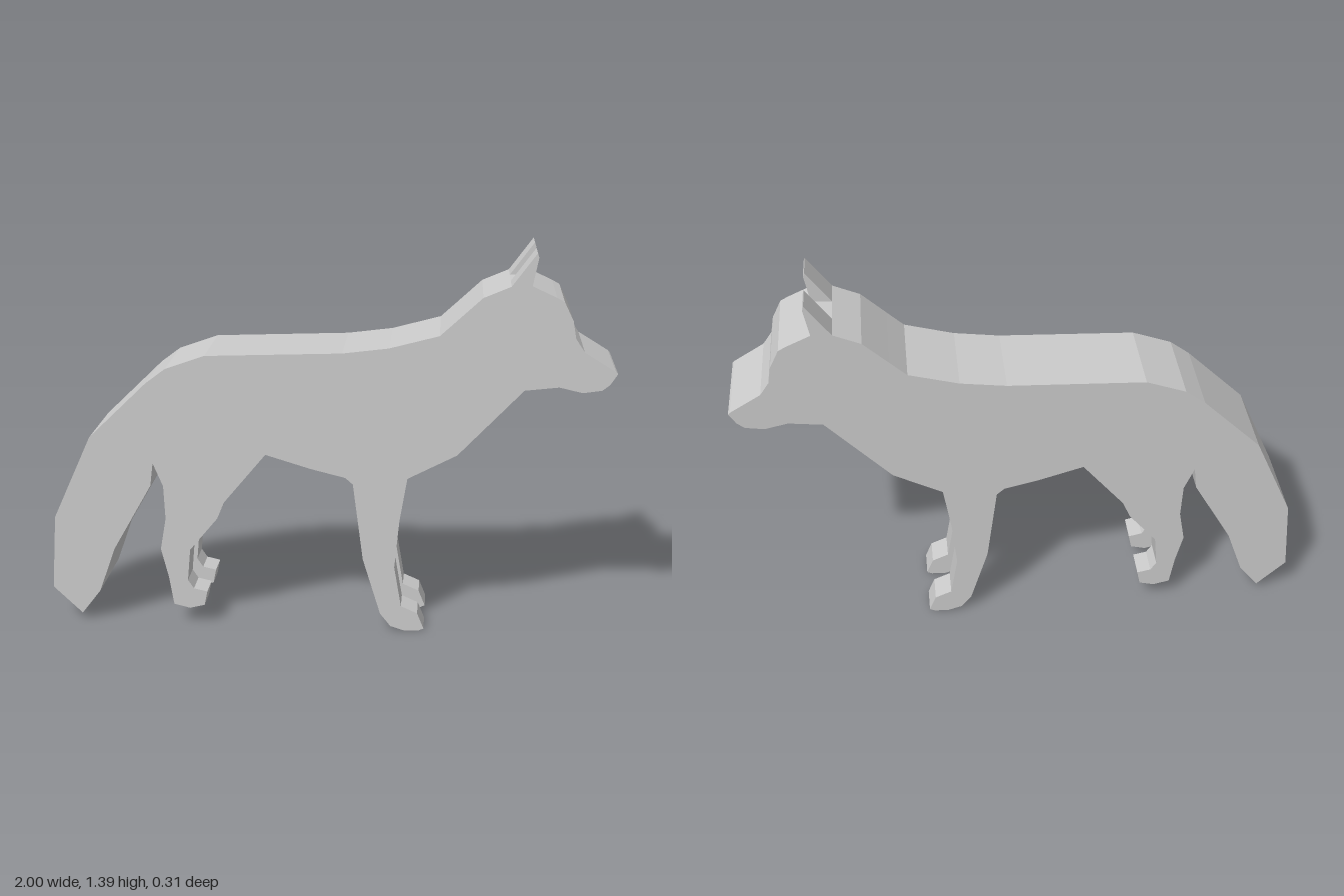
import * as THREE from 'three';

const HALF_WIDTH = 0.153; // overall half thickness
const HALF_GAP = 0.053;   // half the gap between paired legs and ears

const material = new THREE.MeshStandardMaterial({ color: 0xcccccc, flatShading: true });

// Extrude a side profile from z0 to z1
function slab(name, points, z0, z1) {
  const shape = new THREE.Shape(points.map(([x, y]) => new THREE.Vector2(x, y)));
  const geometry = new THREE.ExtrudeGeometry(shape, { depth: z1 - z0, bevelEnabled: false });
  geometry.translate(0, 0, z0);
  const mesh = new THREE.Mesh(geometry, material);
  mesh.name = name;
  return mesh;
}

// Tail, torso, neck and head in one full-width profile
const body = [
  [-0.896, 0.027], [-0.826, 0.118], [-0.767, 0.283], [-0.626, 0.53], [-0.615, 0.615], // tail underside
  [-0.211, 0.658], [-0.051, 0.61], [0.072, 0.58], [0.291, 0.583],                     // belly
  [0.463, 0.674], [0.687, 0.914],                                                     // chest
  [0.805, 0.928], [0.885, 0.91], [0.95, 0.92], [0.976, 0.941], [1, 0.98], [0.993, 0.987], // muzzle
  [0.885, 1.053], [0.853, 1.1], [0.842, 1.16], [0.81, 1.225], [0.783, 1.24], [0.7, 1.278], // face
  [0.63, 1.275], [0.537, 1.235], [0.452, 1.155], [0.393, 1.1],                        // nape
  [0.22, 1.053], [0.06, 1.032], [-0.42, 1.013], [-0.56, 0.963], [-0.63, 0.91],        // back
  [-0.84, 0.706], [-0.98, 0.4], [-1, 0.128],                                          // tail top
];

const frontLeg = [
  [0.291, 0.583], [0.072, 0.58], [0.099, 0.556], [0.136, 0.273], [0.2, 0.064],
  [0.238, 0.016], [0.29, 0], [0.34, 0.003], [0.358, 0.011], [0.334, 0.07],
  [0.275, 0.096], [0.249, 0.246], [0.265, 0.422],
];

const hindLeg = [
  [-0.211, 0.658], [-0.615, 0.615], [-0.58, 0.53], [-0.575, 0.406], [-0.596, 0.289],
  [-0.57, 0.182], [-0.553, 0.075], [-0.495, 0.061], [-0.441, 0.075], [-0.43, 0.128],
  [-0.479, 0.139], [-0.5, 0.171], [-0.489, 0.289], [-0.388, 0.412], [-0.361, 0.476],
];

const ear = [[0.63, 1.275], [0.7, 1.278], [0.718, 1.375], [0.713, 1.39]];

export function createModel() {
  const group = new THREE.Group();
  group.name = 'standingFox';
  group.add(slab('body', body, -HALF_WIDTH, HALF_WIDTH));

  // Paired parts on both sides of the central gap
  for (const [name, profile] of Object.entries({ frontLeg, hindLeg, ear })) {
    group.add(slab(name + 'Near', profile, HALF_GAP, HALF_WIDTH));
    group.add(slab(name + 'Far', profile, -HALF_WIDTH, -HALF_GAP));
  }
  return group;
}
